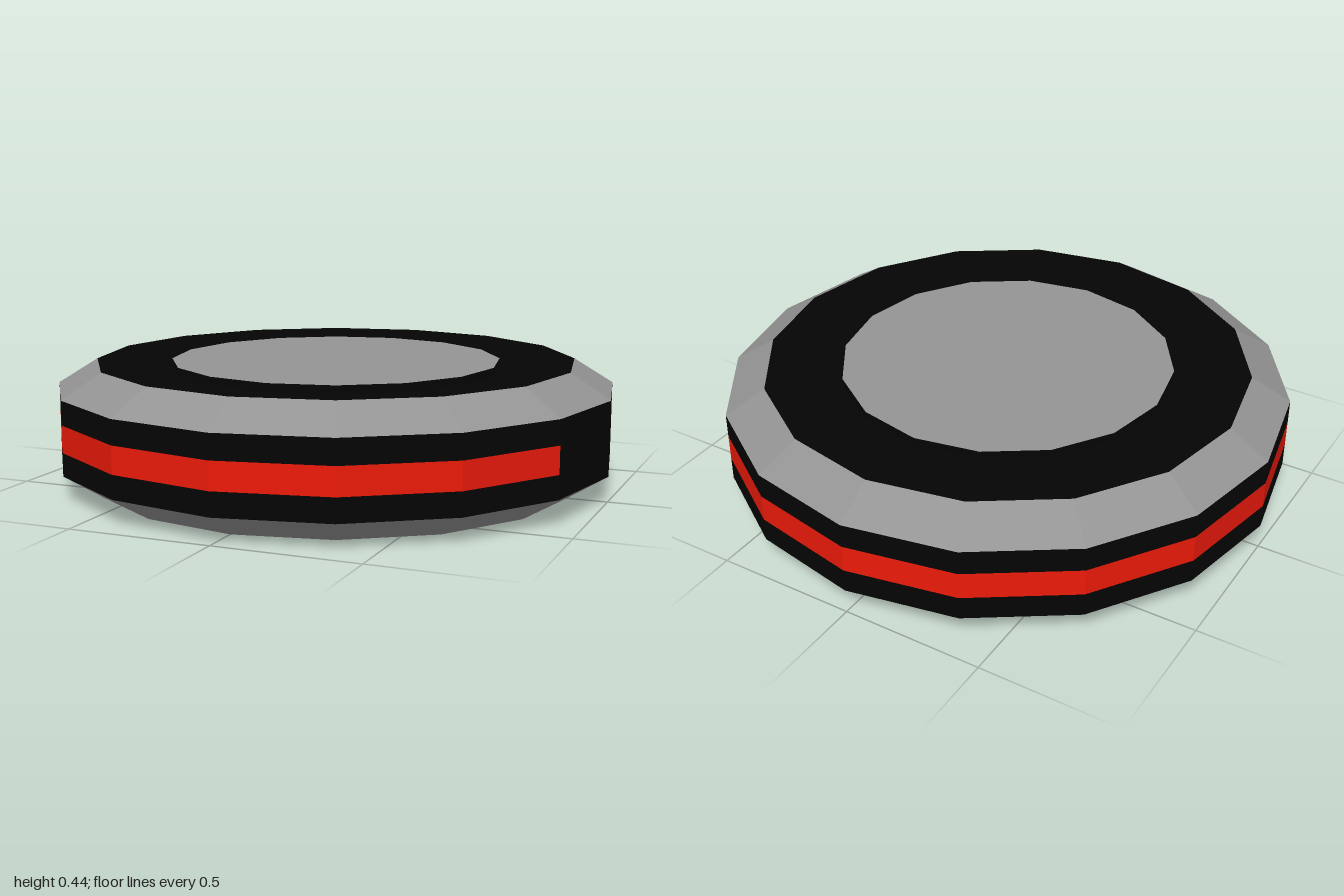
import * as THREE from 'three';

const SIDES = 16;
const STEP = (Math.PI * 2) / SIDES;

const paint = (color) => new THREE.MeshStandardMaterial({ color, flatShading: true });

// Faceted ring swept around y; the profile runs from the underside, outward and up to the top
function ring(name, material, profile, firstSide = 0, sides = SIDES) {
  const points = profile.map(([r, y]) => new THREE.Vector2(r, y));
  const geometry = new THREE.LatheGeometry(points, sides, firstSide * STEP, sides * STEP);
  const mesh = new THREE.Mesh(geometry, material);
  mesh.name = name;
  return mesh;
}

export function createModel() {
  const grey = paint(0x949494);
  const black = paint(0x040404);
  const red = paint(0xec1a0a);

  // Outer radius, rim radius, recess floor radius, raised disc radius
  const R = 1, RIM = 0.86, FLOOR = 0.71, DISC = 0.59;
  // Heights of the chamfers and of the coloured band, and depth of the shallow recesses
  const LOW = 0.088, BAND0 = 0.17, BAND1 = 0.265, HIGH = 0.35, TOP = 0.437, DEPTH = 0.03;

  const model = new THREE.Group();
  model.name = 'disc';
  model.add(
    // Slightly dished underside and lower chamfer
    ring('underside', grey, [[0, DEPTH], [FLOOR, DEPTH], [RIM, 0], [R, LOW]]),
    // Side wall below and above the band
    ring('lowerWall', black, [[R, LOW], [R, BAND0]]),
    ring('upperWall', black, [[R, BAND1], [R, HIGH]]),
    // Band around the side, interrupted for two sides at +x
    ring('sideBand', red, [[R, BAND0], [R, BAND1]], 5, 14),
    ring('bandGap', black, [[R, BAND0], [R, BAND1]], 3, 2),
    // Upper chamfer
    ring('upperChamfer', grey, [[R, HIGH], [RIM, TOP]]),
    // Shallow groove between the rim and the centre disc
    ring('topGroove', black, [[RIM, TOP], [FLOOR, TOP - DEPTH], [DISC, TOP - DEPTH], [DISC, TOP]]),
    // Centre disc, level with the rim
    ring('centreDisc', grey, [[DISC, TOP], [0, TOP]]),
  );
  return model;
}
